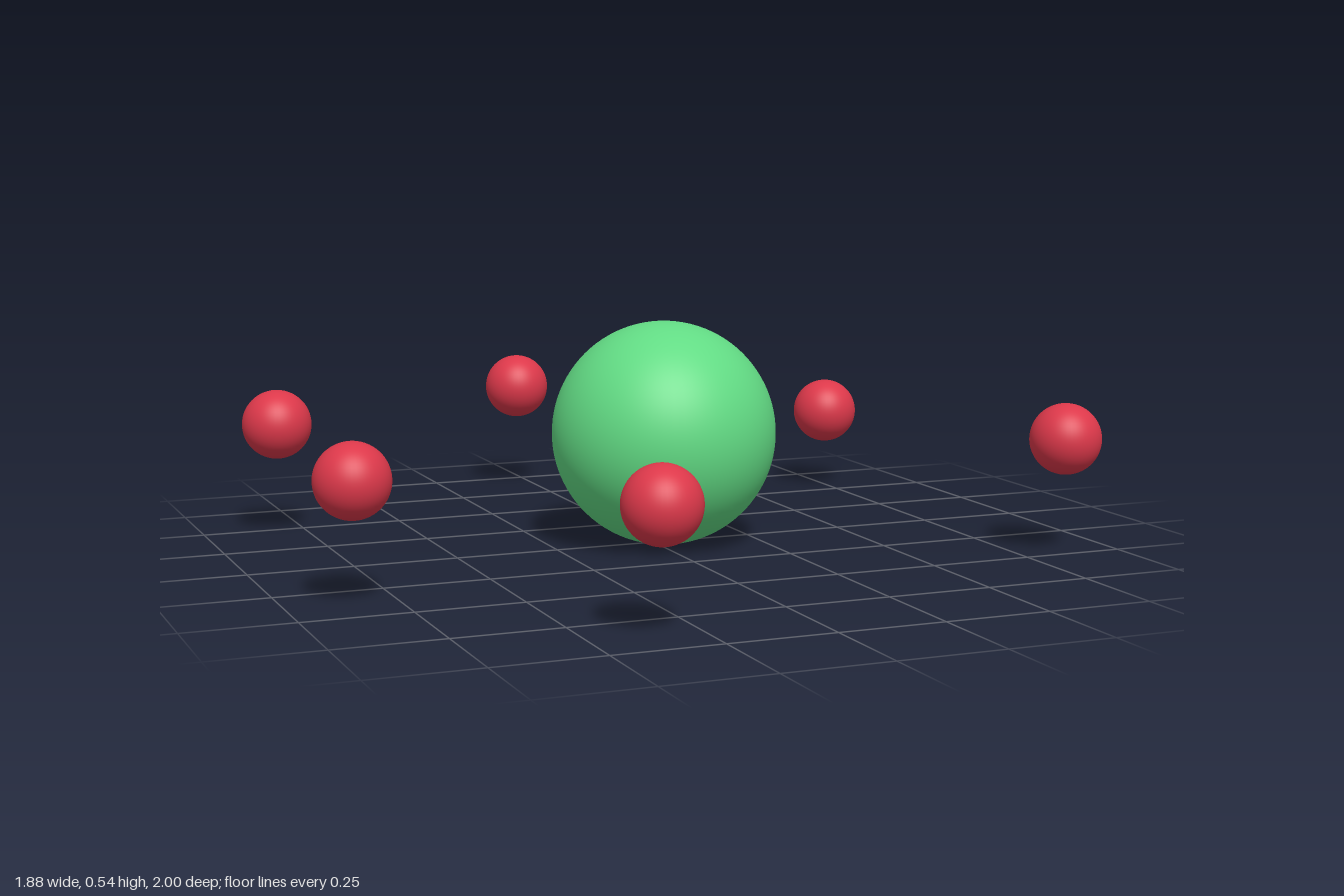
import * as THREE from 'three';

export function createModel() {
  const model = new THREE.Group();
  model.name = 'ringOfBalls';

  const green = new THREE.MeshStandardMaterial({ color: 0x62db84 });
  const red = new THREE.MeshStandardMaterial({ color: 0xdc384a });

  // Large ball in the middle
  const centre = new THREE.Mesh(new THREE.SphereGeometry(0.271, 64, 48), green);
  centre.name = 'centreBall';
  centre.position.set(0.021, 0.271, 0.013);
  model.add(centre);

  // Small balls in an uneven ring around it, one sitting lower
  const smallBall = new THREE.SphereGeometry(0.085, 48, 32);
  const positions = [
    [0.855, 0.275, 0.486],
    [0.753, 0.207, -0.588],
    [-0.04, 0.275, -0.915],
    [-0.822, 0.275, -0.449],
    [-0.857, 0.275, 0.411],
    [-0.354, 0.275, 0.915],
  ];
  positions.forEach((p, i) => {
    const ball = new THREE.Mesh(smallBall, red);
    ball.name = `outerBall${i + 1}`;
    ball.position.set(...p);
    model.add(ball);
  });

  return model;
}
